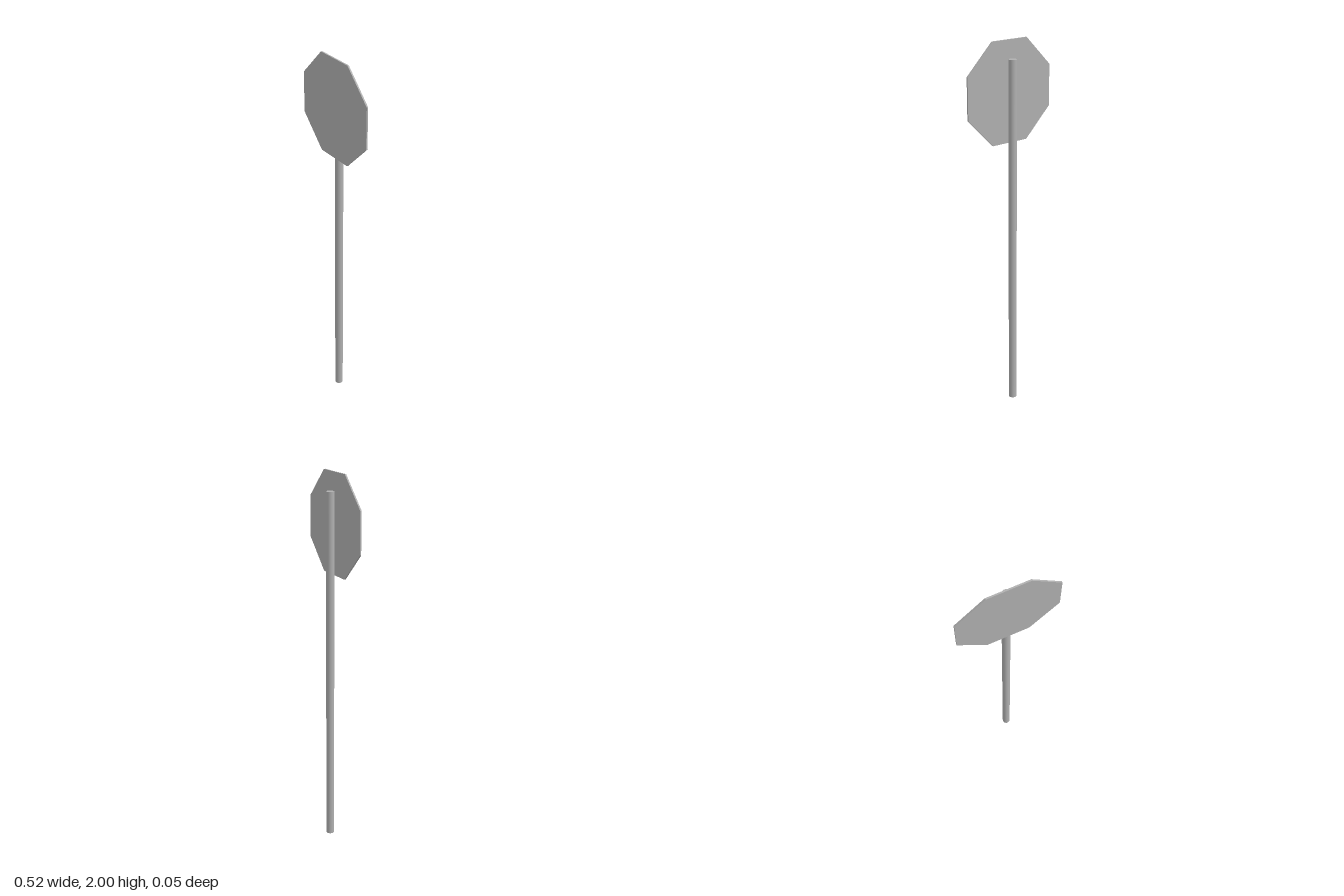
import * as THREE from 'three';

export function createModel() {
  const model = new THREE.Group();
  model.name = 'octagonalSign';
  const grey = new THREE.MeshStandardMaterial({ color: 0xb0b0b0 });
  grey.name = 'plainGrey';

  // Round upright post
  const postHeight = 1.905, postRadius = 0.0215;
  const post = new THREE.Mesh(new THREE.CylinderGeometry(postRadius, postRadius, postHeight, 32), grey);
  post.name = 'post';
  post.position.set(0, postHeight / 2, -0.005);
  model.add(post);

  // Thin octagonal plate, standing on a flat edge, fixed to the front of the post
  const apothem = 0.261, thickness = 0.008;
  const radius = apothem / Math.cos(Math.PI / 8);
  const corners = [];
  for (let i = 0; i < 8; i++) {
    const a = (i + 0.5) * Math.PI / 4;
    corners.push(new THREE.Vector2(radius * Math.cos(a), radius * Math.sin(a)));
  }
  const plate = new THREE.Mesh(
    new THREE.ExtrudeGeometry(new THREE.Shape(corners), { depth: thickness, bevelEnabled: false }),
    grey
  );
  plate.name = 'signPlate';
  plate.position.set(0, 2 - apothem, 0.017);
  model.add(plate);

  return model;
}
